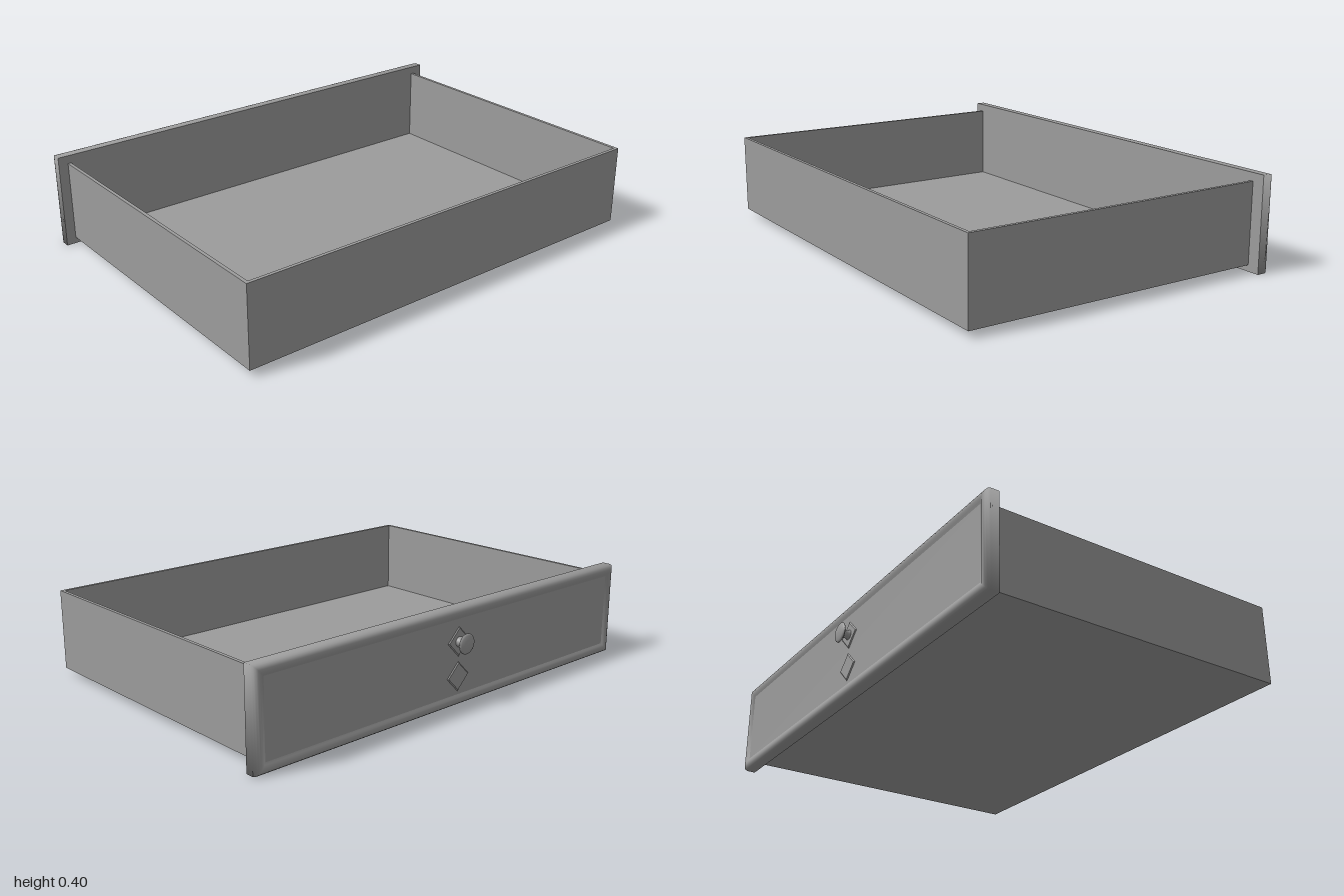
import * as THREE from 'three';

const material = new THREE.MeshStandardMaterial({ color: 0x9c9c9c });

function addMesh(parent, name, geometry, x = 0, y = 0, z = 0) {
  const mesh = new THREE.Mesh(geometry, material);
  mesh.name = name;
  mesh.position.set(x, y, z);
  parent.add(mesh);
  return mesh;
}

// Box given by its lower and upper corners
function addBox(parent, name, [x0, y0, z0], [x1, y1, z1]) {
  const geometry = new THREE.BoxGeometry(x1 - x0, y1 - y0, z1 - z0);
  return addMesh(parent, name, geometry, (x0 + x1) / 2, (y0 + y1) / 2, (z0 + z1) / 2);
}

// Smooth mitred rectangular moulding facing +z: profile points are [inset from the edge, height]
function mouldedRim(halfW, halfH, profile) {
  const signs = [[-1, -1], [1, -1], [1, 1], [-1, 1]];
  const positions = [], indices = [];
  profile.forEach(([inset, z], i) => {
    signs.forEach(([sx, sy], k) => {
      positions.push(sx * (halfW - inset), sy * (halfH - inset), z);
      if (i === 0) return;
      const next = (k + 1) % 4;
      const a = (i - 1) * 4 + k, b = (i - 1) * 4 + next, c = i * 4 + next, d = i * 4 + k;
      indices.push(a, b, c, a, c, d);
    });
  });
  const geometry = new THREE.BufferGeometry();
  geometry.setAttribute('position', new THREE.Float32BufferAttribute(positions, 3));
  geometry.setIndex(indices);
  geometry.computeVertexNormals();
  return geometry;
}

export function createModel() {
  const group = new THREE.Group();
  group.name = 'drawer';

  // Open tray: floor and three thin walls, closed by the face panel
  const [xl, xr, y0, y1, zf, zb] = [-0.96, 0.95, 0.028, 0.367, 0.705, -0.602];
  const t = 0.014;
  const tray = new THREE.Group();
  tray.name = 'tray';
  group.add(tray);
  addBox(tray, 'floor', [xl + t, y0, zb], [xr - t, y0 + t, zf - t]);
  addBox(tray, 'rightWall', [xl, y0, zb], [xl + t, y1, zf]);
  addBox(tray, 'leftWall', [xr - t, y0, zb], [xr, y1, zf]);
  addBox(tray, 'endWall', [xl + t, y0, zf - t], [xr - t, y1, zf]);

  // Face panel: soft rounded rim, flat inner side and slightly sunken field
  const panelZ = -0.605, inset = 0.045, fieldDepth = 0.048;
  const profile = [
    [0, 0], [0, 0.036], [0.003, 0.046], [0.009, 0.053], [0.018, 0.057],
    [0.028, 0.056], [0.037, 0.052], [inset, fieldDepth],
  ];
  const facePanel = new THREE.Group();
  facePanel.name = 'facePanel';
  facePanel.position.set(0, 0.2, panelZ);
  group.add(facePanel);
  addMesh(facePanel, 'rim', mouldedRim(1, 0.2, profile)).rotation.y = Math.PI;
  addMesh(facePanel, 'innerSide', new THREE.PlaneGeometry(2, 0.4));
  const field = new THREE.PlaneGeometry(2 - 2 * inset, 0.4 - 2 * inset);
  addMesh(facePanel, 'field', field, 0, 0, -fieldDepth).rotation.y = Math.PI;

  // Two low bevelled diamond plates: one behind the knob, one below it
  const fieldZ = panelZ - fieldDepth;
  const knobX = -0.004, knobY = 0.263;
  for (const [name, y] of [['knobPlate', knobY], ['lowerPlate', 0.12]]) {
    const diamond = new THREE.CylinderGeometry(0.055, 0.064, 0.006, 4).toNonIndexed();
    diamond.rotateX(-Math.PI / 2);
    diamond.computeVertexNormals();
    addMesh(group, name, diamond, knobX, y, fieldZ - 0.001);
  }

  // Turned knob: foot, waisted stem and domed head
  const knobProfile = [
    [0.022, 0], [0.021, 0.005], [0.018, 0.009], [0.016, 0.018], [0.018, 0.026],
    [0.025, 0.032], [0.037, 0.037], [0.042, 0.040], [0.041, 0.044], [0.034, 0.048],
    [0.018, 0.051], [0, 0.052],
  ].map(([r, h]) => new THREE.Vector2(r, h));
  const knob = new THREE.LatheGeometry(knobProfile, 32);
  knob.rotateX(-Math.PI / 2);
  addMesh(group, 'knob', knob, knobX, knobY, fieldZ);

  return group;
}
